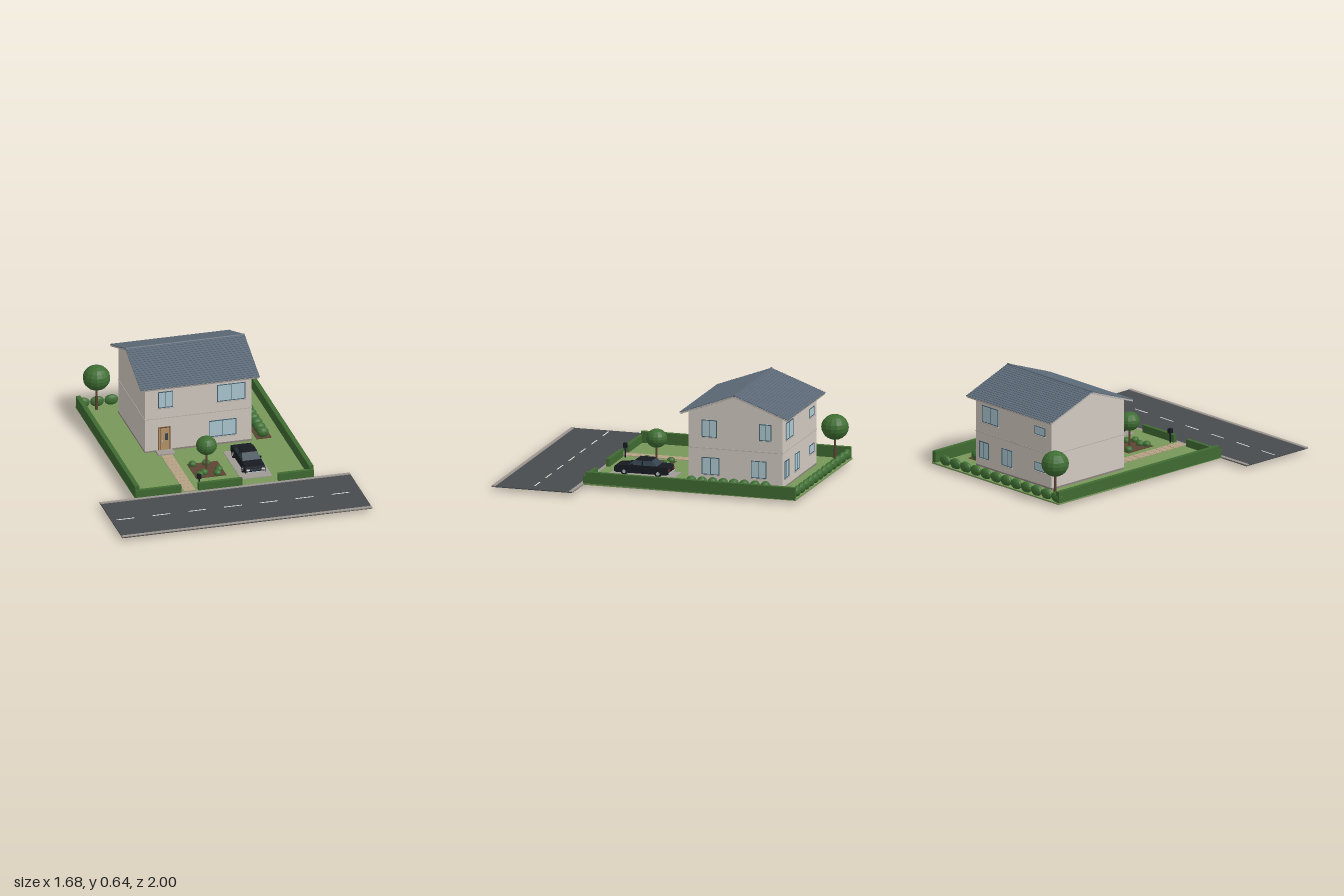
import * as THREE from 'three';

const mat = (color, opts = {}) => new THREE.MeshStandardMaterial({ color, ...opts });
const M = {
  grass: mat(0x78985a), hedge: mat(0x3f6a31), leaf: mat(0x3f6e33, { flatShading: true }),
  soil: mat(0x5e4433), bark: mat(0x5a4330), wall: mat(0xd2cac1), trim: mat(0xb8b2ac),
  stone: mat(0x8f8580), roof: mat(0x5d6a78), glass: mat(0xaec9d2), frame: mat(0x44606f),
  asphalt: mat(0x484b4e), kerb: mat(0x9c9691), white: mat(0xe4e4e0), path: mat(0xb5a184),
  concrete: mat(0xa09a94), wood: mat(0xb89468), darkWood: mat(0x6b4a30), black: mat(0x171b21),
  carGlass: mat(0x34434f), steel: mat(0xb4b9bd),
};
const GROUND = 0.03;

function add(parent, name, geo, material, x = 0, y = 0, z = 0) {
  const m = new THREE.Mesh(geo, material);
  m.name = name;
  m.position.set(x, y, z);
  parent.add(m);
  return m;
}

// Box given by its limits on each axis
function box(parent, name, material, x0, x1, y0, y1, z0, z1) {
  return add(parent, name, new THREE.BoxGeometry(x1 - x0, y1 - y0, z1 - z0), material,
    (x0 + x1) / 2, (y0 + y1) / 2, (z0 + z1) / 2);
}

function group(parent, name, x = 0, y = 0, z = 0) {
  const g = new THREE.Group();
  g.name = name;
  g.position.set(x, y, z);
  parent.add(g);
  return g;
}

// Side profile of [z, y] points extruded symmetrically along x
function profile(parent, name, material, points, width) {
  const shape = new THREE.Shape(points.map(([z, y]) => new THREE.Vector2(-z, y)));
  const geo = new THREE.ExtrudeGeometry(shape, { depth: width, bevelEnabled: false });
  geo.translate(0, 0, -width / 2).rotateY(Math.PI / 2);
  return add(parent, name, geo, material);
}

function bush(parent, name, x, y, z, rx, ry = rx, rz = rx) {
  add(parent, name, new THREE.SphereGeometry(1, 14, 10), M.leaf, x, y, z).scale.set(rx, ry, rz);
}

function tree(parent, name, x, z, y, r, ry) {
  const g = group(parent, name, x, 0, z);
  add(g, 'trunk', new THREE.CylinderGeometry(r * 0.07, r * 0.11, y - GROUND, 8), M.bark, 0, (y + GROUND) / 2, 0);
  bush(g, 'crown', 0, y, 0, r, ry, r);
}

// Window facing +z, centred on its origin
function makeWindow(parent, w, h, split) {
  const g = group(parent, 'window');
  const t = 0.005;
  box(g, 'glass', M.glass, -w / 2, w / 2, -h / 2, h / 2, -0.004, 0.002);
  for (const s of [-1, 1]) {
    add(g, 'frameSide', new THREE.BoxGeometry(t, h, 0.01), M.frame, s * (w - t) / 2, 0, 0);
    add(g, 'frameRail', new THREE.BoxGeometry(w, t, 0.01), M.frame, 0, s * (h - t) / 2, 0);
  }
  if (split) add(g, 'mullion', new THREE.BoxGeometry(0.004, h, 0.009), M.frame);
  add(g, 'sill', new THREE.BoxGeometry(w + 0.01, 0.005, 0.018), M.trim, 0, -h / 2 - 0.002, 0.002);
  return g;
}

function buildHouse(root) {
  const house = group(root, 'house', 0, 0, -0.505);
  const W = 0.36, D = 0.32;
  box(house, 'foundation', M.stone, -W, W, 0, 0.042, -D, D);
  profile(house, 'walls', M.wall, [[-D, 0.04], [D, 0.04], [D, 0.508], [0, 0.628], [-D, 0.508]], 2 * W - 0.002);
  box(house, 'floorBand', M.trim, -W - 0.002, W + 0.002, 0.263, 0.268, -D - 0.002, D + 0.002);

  // Windows: centre along the wall, centre height, width, height
  const front = [[-0.22, 0.397, 0.1, 0.115, 1], [0.22, 0.397, 0.19, 0.12, 1], [0.163, 0.148, 0.185, 0.115, 1]];
  const back = [[0.22, 0.397, 0.155, 0.115, 1], [-0.25, 0.405, 0.1, 0.06, 0], [0.28, 0.148, 0.09, 0.115, 1],
    [0.06, 0.148, 0.1, 0.115, 1], [-0.25, 0.16, 0.1, 0.06, 0]];
  const side = [[0.178, 0.397, 0.105, 0.115, 1], [-0.203, 0.397, 0.085, 0.11, 1],
    [0.17, 0.148, 0.12, 0.115, 1], [-0.158, 0.148, 0.105, 0.115, 1]];
  for (const [x, y, w, h, s] of front) makeWindow(house, w, h, s).position.set(x, y, D);
  for (const [x, y, w, h, s] of back) {
    const g = makeWindow(house, w, h, s);
    g.position.set(x, y, -D);
    g.rotation.y = Math.PI;
  }
  for (const [z, y, w, h, s] of side) {
    const g = makeWindow(house, w, h, s);
    g.position.set(W, y, z);
    g.rotation.y = Math.PI / 2;
  }

  // Front door and step
  const door = group(house, 'frontDoor', -0.23, 0, D);
  box(door, 'doorFrame', M.darkWood, -0.042, 0.042, 0.04, 0.202, -0.004, 0.004);
  box(door, 'doorPanel', M.wood, -0.022, 0.034, 0.042, 0.195, 0, 0.007);
  box(door, 'doorSidelight', M.wood, -0.037, -0.026, 0.042, 0.195, 0, 0.006);
  box(door, 'doorGlass', M.carGlass, 0.004, 0.024, 0.11, 0.157, 0, 0.009);
  box(door, 'doorHandle', M.steel, -0.018, -0.012, 0.1, 0.112, 0, 0.012);
  box(door, 'doorStep', M.concrete, -0.058, 0.055, GROUND, 0.042, 0, 0.075);

  // Roof slopes with overlapping tile rows
  const run = 0.365, rise = 0.135, len = Math.hypot(run, rise), rows = 20;
  for (const s of [1, -1]) {
    const slope = group(house, s > 0 ? 'frontRoof' : 'backRoof', 0, 0.632, 0);
    slope.rotation.order = 'YXZ';
    slope.rotation.set(Math.atan2(rise, run), s > 0 ? 0 : Math.PI, 0);
    box(slope, 'roofBoard', M.trim, -0.399, 0.399, -0.008, 0.002, 0, len);
    box(slope, 'roofUnderside', M.roof, -0.385, 0.385, -0.01, -0.007, 0.004, len - 0.004);
    for (let i = 0; i < rows; i++) {
      const p = len / rows;
      const row = add(slope, 'tileRow', new THREE.BoxGeometry(0.8, 0.004, p * 1.08), M.roof, 0, 0.005, (i + 0.5) * p);
      row.rotation.x = -0.13;
    }
  }
  const ridge = add(house, 'ridgeCap', new THREE.CylinderGeometry(0.008, 0.008, 0.8, 8), M.roof, 0, 0.636, 0);
  ridge.rotation.z = Math.PI / 2;
}

function buildCar(root) {
  const car = group(root, 'car', 0.239, 0.034, 0.155);
  profile(car, 'body', M.black, [[-0.185, 0.02], [-0.18, 0.056], [-0.17, 0.064], [-0.1, 0.067], [0.085, 0.067],
    [0.17, 0.058], [0.183, 0.052], [0.185, 0.02], [0.17, 0.013], [-0.17, 0.013]], 0.132);
  // Cabin tapers upward on all four sides
  const cabin = (name, m, y0, y1, zb, zf, taper, rear, frontIn, w) => {
    const geo = new THREE.BoxGeometry(w, y1 - y0, zf - zb);
    const p = geo.attributes.position;
    for (let i = 0; i < p.count; i++) if (p.getY(i) > 0) {
      p.setX(i, p.getX(i) * taper);
      p.setZ(i, p.getZ(i) + (p.getZ(i) > 0 ? -frontIn : rear));
    }
    geo.computeVertexNormals();
    return add(car, name, geo, m, 0, (y0 + y1) / 2, (zb + zf) / 2);
  };
  cabin('carWindows', M.carGlass, 0.066, 0.099, -0.105, 0.09, 0.84, 0.04, 0.045, 0.124);
  cabin('carRoof', M.black, 0.098, 0.103, -0.066, 0.046, 0.96, 0.004, 0.004, 0.108);
  for (const s of [-1, 1]) {
    add(car, 'doorPillar', new THREE.BoxGeometry(0.004, 0.034, 0.008), M.black, s * 0.057, 0.082, -0.005).rotation.z = s * 0.29;
    box(car, 'headlight', M.white, s * 0.05 - 0.011, s * 0.05 + 0.011, 0.036, 0.048, 0.18, 0.187);
    box(car, 'tailLight', mat(0x8a2020), s * 0.05 - 0.011, s * 0.05 + 0.011, 0.038, 0.05, -0.187, -0.178);
    box(car, 'mirror', M.black, s * 0.068 - 0.006, s * 0.068 + 0.006, 0.066, 0.075, 0.058, 0.066);
    for (const z of [-0.115, 0.115]) {
      const tyre = add(car, 'wheel', new THREE.CylinderGeometry(0.023, 0.023, 0.018, 16), M.black, s * 0.063, 0.022, z);
      const hub = add(car, 'hub', new THREE.CylinderGeometry(0.012, 0.012, 0.02, 12), M.steel, s * 0.063, 0.022, z);
      tyre.rotation.z = hub.rotation.z = Math.PI / 2;
    }
  }
  box(car, 'grille', M.carGlass, -0.034, 0.034, 0.036, 0.047, 0.18, 0.186);
  for (const s of [-1, 1]) add(car, 'bumper', new THREE.BoxGeometry(0.126, 0.007, 0.01), M.steel, 0, 0.025, s * 0.184);
}

function buildGarden(root) {
  const garden = group(root, 'garden');
  box(garden, 'lawn', M.grass, -0.6, 0.6, 0.02, GROUND, -0.99, 0.45);
  // Hedges around the plot
  for (const s of [-1, 1]) box(garden, 'sideHedge', M.hedge, s * 0.585 - 0.015, s * 0.585 + 0.015, 0.024, 0.105, -0.985, 0.44);
  for (const [a, b] of [[-0.6, -0.29], [-0.175, 0.12], [0.36, 0.6]]) {
    box(garden, 'frontHedge', M.hedge, a, b, 0.026, 0.08, 0.43, 0.455);
  }
  // Rows of shrubs
  for (let i = 0; i < 12; i++) bush(garden, 'backShrub', -0.558 + i * 0.0957, 0.06, -0.967, 0.047, 0.036, 0.024);
  box(garden, 'sideBed', M.soil, 0.395, 0.495, GROUND - 0.004, 0.034, -0.765, -0.19);
  for (let i = 0; i < 8; i++) bush(garden, 'sideShrub', 0.445, 0.06, -0.735 + i * 0.072, 0.04, 0.036, 0.034);
  // Round tree and flower bed
  tree(garden, 'backTree', -0.482, -0.91, 0.257, 0.09, 0.084);
  box(garden, 'frontBed', M.soil, -0.143, 0.06, GROUND - 0.004, 0.034, 0.06, 0.28);
  tree(garden, 'frontTree', -0.042, 0.162, 0.204, 0.069, 0.062);
  for (const [x, z] of [[-0.115, 0.087], [-0.025, 0.09], [0.03, 0.203], [0.005, 0.256], [-0.075, 0.225], [-0.113, 0.25]]) {
    bush(garden, 'smallShrub', x, 0.045, z, 0.026, 0.022, 0.026);
  }
  // Paving
  for (let i = 0; i < 11; i++) {
    const z = -0.112 + i * 0.051;
    box(garden, 'pathSlab', M.path, -0.27, -0.195, GROUND - 0.004, 0.034, z, z + 0.048);
  }
  box(garden, 'driveway', M.concrete, 0.133, 0.343, GROUND - 0.004, 0.034, 0.066 - 0.13, 0.372);
  // Letterbox
  const post = group(garden, 'letterbox', -0.161, 0, 0.413);
  box(post, 'post', M.black, -0.004, 0.004, GROUND, 0.1, -0.004, 0.004);
  box(post, 'letterboxCase', M.black, -0.012, 0.012, 0.095, 0.126, -0.012, 0.012);
}

function buildRoad(root) {
  const road = group(root, 'road');
  box(road, 'carriageway', M.asphalt, -0.84, 0.84, 0.02, 0.026, 0.452, 1);
  for (const z of [0.452, 0.976]) box(road, 'kerb', M.kerb, -0.84, 0.84, 0.022, 0.03, z, z + 0.024);
  for (let i = -3; i <= 3; i++) {
    const x = i * 0.2405 - 0.023;
    box(road, 'laneDash', M.white, x - 0.06, x + 0.06, 0.024, 0.0275, 0.731, 0.739);
  }
}

export function createModel() {
  const root = new THREE.Group();
  root.name = 'houseWithGarden';
  buildRoad(root);
  buildGarden(root);
  buildHouse(root);
  buildCar(root);
  return root;
}
